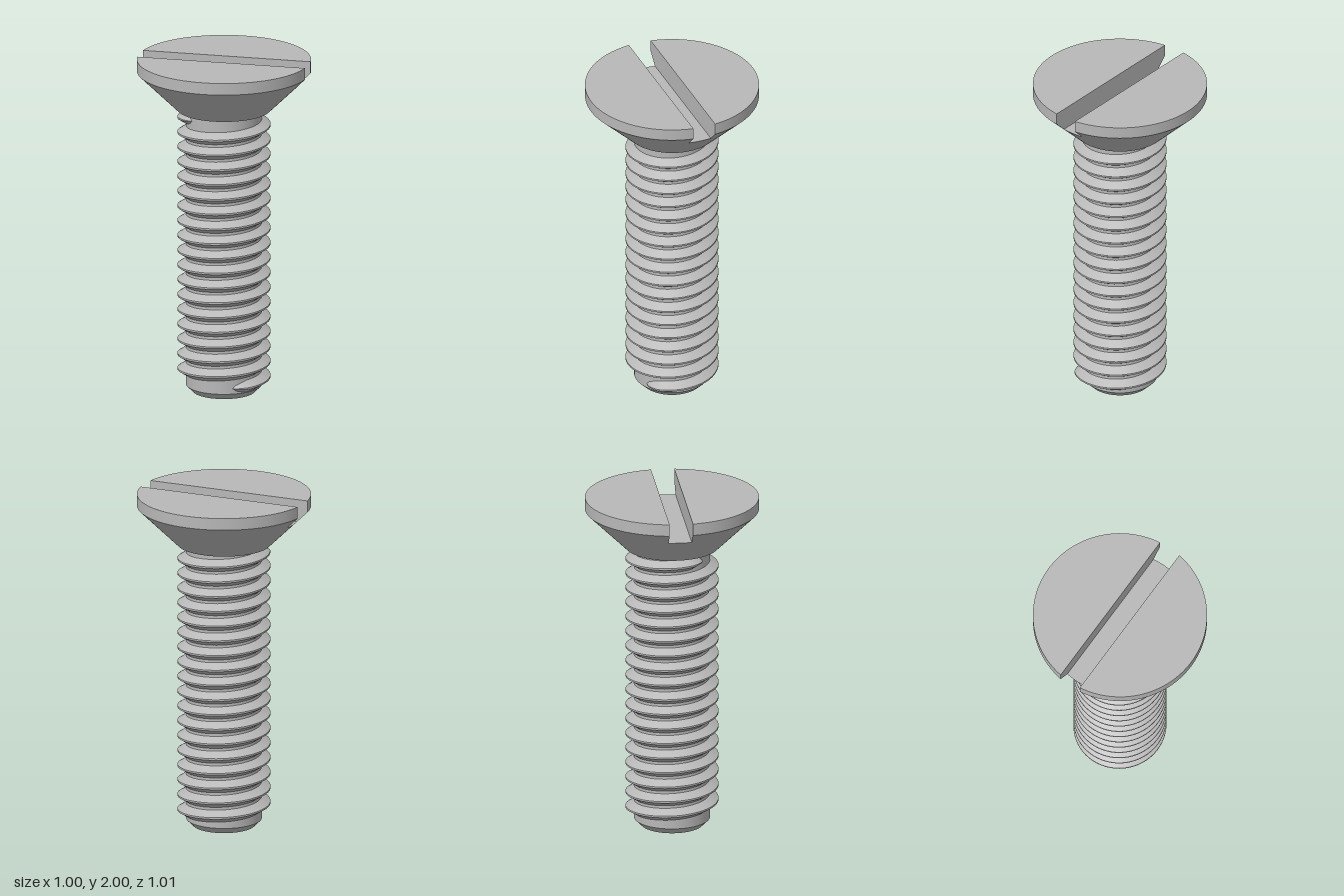
import * as THREE from 'three';
import { toCreasedNormals } from 'three/addons/utils/BufferGeometryUtils.js';

const HEAD_R = 0.505, NECK_R = 0.27, SHANK_R = 0.22, CREST_R = 0.27;
const NECK_Y = 1.7, RIM_Y = 1.93, TOP_Y = 2;
const SLOT_Y = 1.865, SLOT_HALF = 0.068;
const SLOT_R = NECK_R + (HEAD_R - NECK_R) * (SLOT_Y - NECK_Y) / (RIM_Y - NECK_Y);
const PITCH = 0.0892;

// Smooth surface through rows of points; it faces (row direction) x (column direction)
function grid(rows) {
  const cols = rows[0].length, index = [];
  for (let i = 0; i < rows.length - 1; i++) {
    for (let j = 0; j < cols - 1; j++) {
      const a = i * cols + j, b = a + cols;
      index.push(a, b, a + 1, b, b + 1, a + 1);
    }
  }
  const geo = new THREE.BufferGeometry();
  geo.setAttribute('position', new THREE.Float32BufferAttribute(rows.flat(2), 3));
  geo.setIndex(index);
  geo.computeVertexNormals();
  return geo;
}

// Arc of the head on one side of the slot
function halfRing(r, y, n = 64) {
  const a0 = Math.asin(SLOT_HALF / r);
  return Array.from({ length: n + 1 }, (_, i) => {
    const a = a0 + (Math.PI - 2 * a0) * i / n;
    return [r * Math.cos(a), y, r * Math.sin(a)];
  });
}

function lathe(points) {
  const profile = points.map(([r, y]) => new THREE.Vector2(r, y));
  return toCreasedNormals(new THREE.LatheGeometry(profile, 96), 0.4);
}

export function createModel() {
  const steel = new THREE.MeshStandardMaterial({ color: 0xb8b8b8 });
  steel.name = 'steel';
  const model = new THREE.Group();
  model.name = 'countersunkScrew';
  const add = (name, geo, parent = model) => {
    const mesh = new THREE.Mesh(geo, steel);
    mesh.name = name;
    parent.add(mesh);
    return mesh;
  };

  // Shank with chamfered tip
  add('shank', lathe([[0, 0], [0.18, 0], [SHANK_R, 0.04], [SHANK_R, NECK_Y]]));

  // Head below the slot
  add('headCone', lathe([[SHANK_R, NECK_Y], [NECK_R, NECK_Y], [SLOT_R, SLOT_Y]]));

  // Slot floor with rounded ends
  const a = Math.asin(SLOT_HALF / SLOT_R);
  const floor = new THREE.Shape();
  floor.absarc(0, 0, SLOT_R, -a, a, false);
  floor.absarc(0, 0, SLOT_R, Math.PI - a, Math.PI + a, false);
  const floorGeo = new THREE.ShapeGeometry(floor, 8);
  floorGeo.rotateX(-Math.PI / 2).translate(0, SLOT_Y, 0);
  add('slotFloor', floorGeo);

  // Head halves on both sides of the slot
  for (const [name, turn] of [['frontHeadHalf', 0], ['backHeadHalf', Math.PI]]) {
    const half = new THREE.Group();
    half.name = name;
    half.rotation.y = turn;
    model.add(half);
    const cone = [0, 0.25, 0.5, 0.75, 1].map((k) =>
      halfRing(SLOT_R + (HEAD_R - SLOT_R) * k, SLOT_Y + (RIM_Y - SLOT_Y) * k));
    const top = halfRing(HEAD_R, TOP_Y);
    add('cone', grid(cone), half);
    add('rim', grid([cone[4], top]), half);
    add('topFace', grid([top, top.map(([x, y]) => [x, y, SLOT_HALF])]), half);
    add('slotWall', grid([...cone, top].map((row) => [row[row.length - 1], row[0]])), half);
  }

  // Helical thread, angle measured from the front towards +x, fading in and out
  const start = 26, end = 317 + 17 * 360, fade = 25, steps = 1080;
  const rootR = SHANK_R - 0.004;
  const profile = [[rootR, -0.039], [CREST_R, -0.005], [CREST_R, 0.005], [rootR, 0.039]];
  const thread = new THREE.Group();
  thread.name = 'thread';
  model.add(thread);
  ['lowerFlank', 'crest', 'upperFlank'].forEach((name, k) => {
    const rows = [];
    for (let i = 0; i <= steps; i++) {
      const deg = start + (end - start) * i / steps;
      const s = Math.sqrt(Math.min(1, (deg - start) / fade, (end - deg) / fade));
      const t = THREE.MathUtils.degToRad(deg);
      const y = 0.088 + PITCH * (deg - 90) / 360;
      rows.push([profile[k], profile[k + 1]].map(([r, dy]) => {
        const radius = rootR + (r - rootR) * s;
        return [radius * Math.sin(t), y + dy * s, radius * Math.cos(t)];
      }));
    }
    add(name, grid(rows), thread);
  });

  return model;
}
